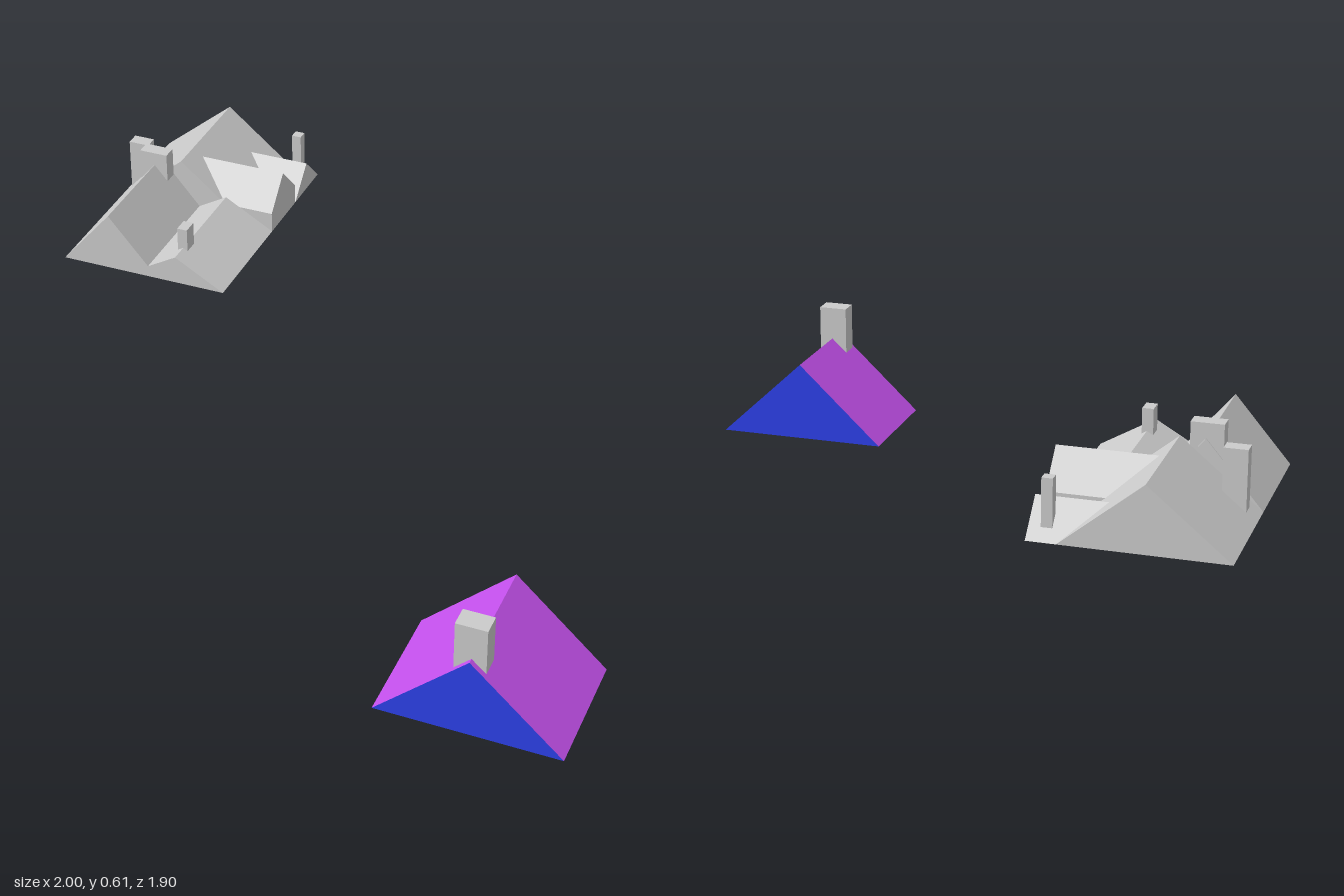
import * as THREE from 'three';

const grey = new THREE.MeshStandardMaterial({ color: 0xcccccc });
const blue = new THREE.MeshStandardMaterial({ color: 0x2c40e8 });
const purple = new THREE.MeshStandardMaterial({ color: 0xc852f1 });

// Gabled profile from a to b with its peak in the middle, extruded over a length.
function gable(a, b, base, eave, ridge, length) {
  const points = [[a, base], [b, base]];
  if (eave > base) points.push([b, eave]);
  points.push([(a + b) / 2, ridge]);
  if (eave > base) points.push([a, eave]);
  const shape = new THREE.Shape(points.map(([x, y]) => new THREE.Vector2(x, y)));
  return new THREE.ExtrudeGeometry(shape, { depth: length, bevelEnabled: false });
}

// Roof whose ridge runs front to back.
function roofAlongZ(name, x0, x1, z0, z1, base, ridge, material = grey) {
  const mesh = new THREE.Mesh(gable(x0, x1, base, base, ridge, z1 - z0).translate(0, 0, z0), material);
  mesh.name = name;
  return mesh;
}

// Roof whose ridge runs sideways.
function roofAlongX(name, x0, x1, z0, z1, base, eave, ridge) {
  const geometry = gable(-z1, -z0, base, eave, ridge, x1 - x0).rotateY(Math.PI / 2).translate(x0, 0, 0);
  const mesh = new THREE.Mesh(geometry, grey);
  mesh.name = name;
  return mesh;
}

function chimney(name, x0, x1, y0, y1, z0, z1) {
  const mesh = new THREE.Mesh(new THREE.BoxGeometry(x1 - x0, y1 - y0, z1 - z0), grey);
  mesh.position.set((x0 + x1) / 2, (y0 + y1) / 2, (z0 + z1) / 2);
  mesh.name = name;
  return mesh;
}

export function createModel() {
  const model = new THREE.Group();

  // Small coloured roof with one chimney
  const smallRoof = new THREE.Group();
  smallRoof.name = 'smallRoof';
  smallRoof.add(
    roofAlongZ('colouredRoof', 0.467, 1, 0.572, 0.948, 0, 0.25, [blue, purple]),
    chimney('smallRoofChimney', 0.685, 0.775, 0.19, 0.355, 0.872, 0.932),
  );

  // Large compound roof: two front gables, a rear ridge and two side gables
  const largeRoof = new THREE.Group();
  largeRoof.name = 'largeRoof';
  largeRoof.add(
    roofAlongZ('frontTallGable', -1, -0.685, -0.573, -0.197, 0.378, 0.563),
    roofAlongZ('frontLowGable', -0.778, -0.467, -0.573, -0.197, 0.378, 0.468),
    roofAlongZ('rearRoof', -1, -0.548, -0.948, -0.573, 0.378, 0.564),
    roofAlongX('sideTallGable', -0.773, -0.467, -0.76, -0.573, 0.378, 0.442, 0.538),
    roofAlongX('sideLowGable', -0.75, -0.467, -0.948, -0.762, 0.378, 0.378, 0.47),
    chimney('leftEaveChimney', -0.97, -0.905, 0.385, 0.573, -0.652, -0.61),
    chimney('ridgeChimney', -0.89, -0.8, 0.46, 0.605, -0.57, -0.525),
    chimney('lowGableChimney', -0.64, -0.608, 0.43, 0.533, -0.302, -0.255),
    chimney('sideGableChimney', -0.53, -0.5, 0.4, 0.541, -0.918, -0.888),
  );

  model.add(smallRoof, largeRoof);
  return model;
}
